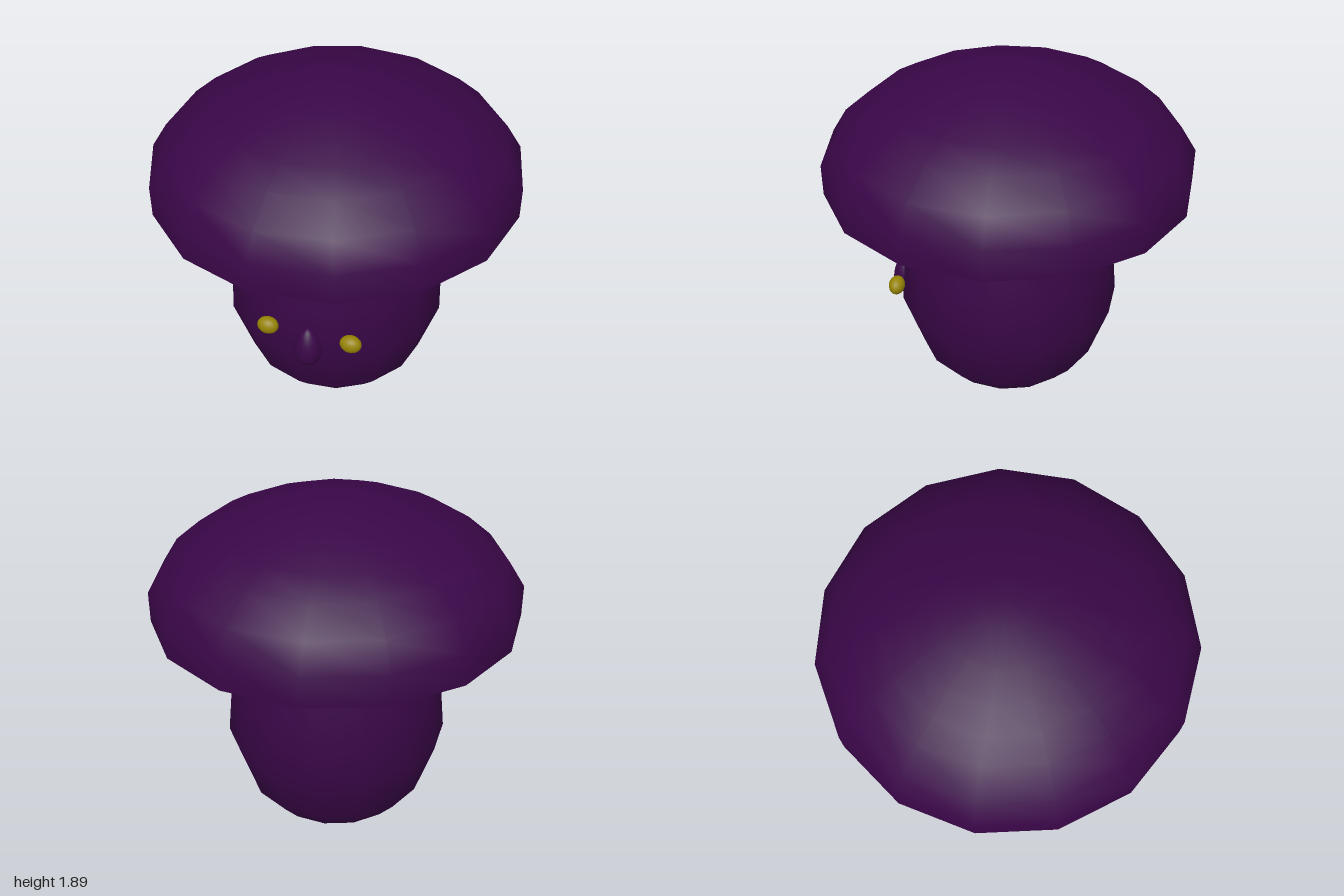
import * as THREE from 'three';

const purple = new THREE.MeshStandardMaterial({ color: 0x390647 });
const yellow = new THREE.MeshStandardMaterial({ color: 0x968405 });

// Smooth 15-sided turned part from [radius, height] points, with a corner on +x
function turned(name, points) {
  const profile = points.map(([r, y]) => new THREE.Vector2(r, y));
  const mesh = new THREE.Mesh(new THREE.LatheGeometry(profile, 15, Math.PI / 2), purple);
  mesh.name = name;
  mesh.position.x = -0.011;
  return mesh;
}

function ellipsoid(name, material, position, radii) {
  const geometry = new THREE.SphereGeometry(1, 20, 14).scale(...radii);
  const mesh = new THREE.Mesh(geometry, material);
  mesh.name = name;
  mesh.position.set(...position);
  return mesh;
}

export function createModel() {
  const model = new THREE.Group();
  model.name = 'mushroom';

  // Cap: upright rim running smoothly into the dome
  model.add(turned('cap', [[1.005, 1.23], [1.005, 1.4], [0.92, 1.535], [0.775, 1.66],
    [0.64, 1.735], [0.5, 1.79], [0.345, 1.85], [0.135, 1.895], [0, 1.895]]));

  // Stem: flat foot, bulging body, then flaring into the shallow hollow under the cap
  model.add(turned('stemAndUnderside', [[0, 0], [0.337, 0], [0.402, 0.045], [0.512, 0.17],
    [0.622, 0.495], [0.595, 0.78], [0.55, 1.06], [0.5, 1.23], [0.44, 1.34],
    [0.54, 1.33], [1.005, 1.23]]));

  // Eyes
  model.add(
    ellipsoid('rightEye', yellow, [-0.2, 0.645, 0.6], [0.06, 0.05, 0.045]),
    ellipsoid('leftEye', yellow, [0.27, 0.645, 0.6], [0.06, 0.05, 0.045]),
  );

  // Nose: an egg, narrowing towards the top
  const nose = ellipsoid('nose', purple, [0.03, 0.56, 0.6], [0.073, 0.122, 0.073]);
  const p = nose.geometry.attributes.position;
  for (let i = 0; i < p.count; i++) {
    const taper = 1 - 1.8 * p.getY(i);
    p.setX(i, p.getX(i) * taper);
    p.setZ(i, p.getZ(i) * taper);
  }
  nose.geometry.computeVertexNormals();
  model.add(nose);

  return model;
}
